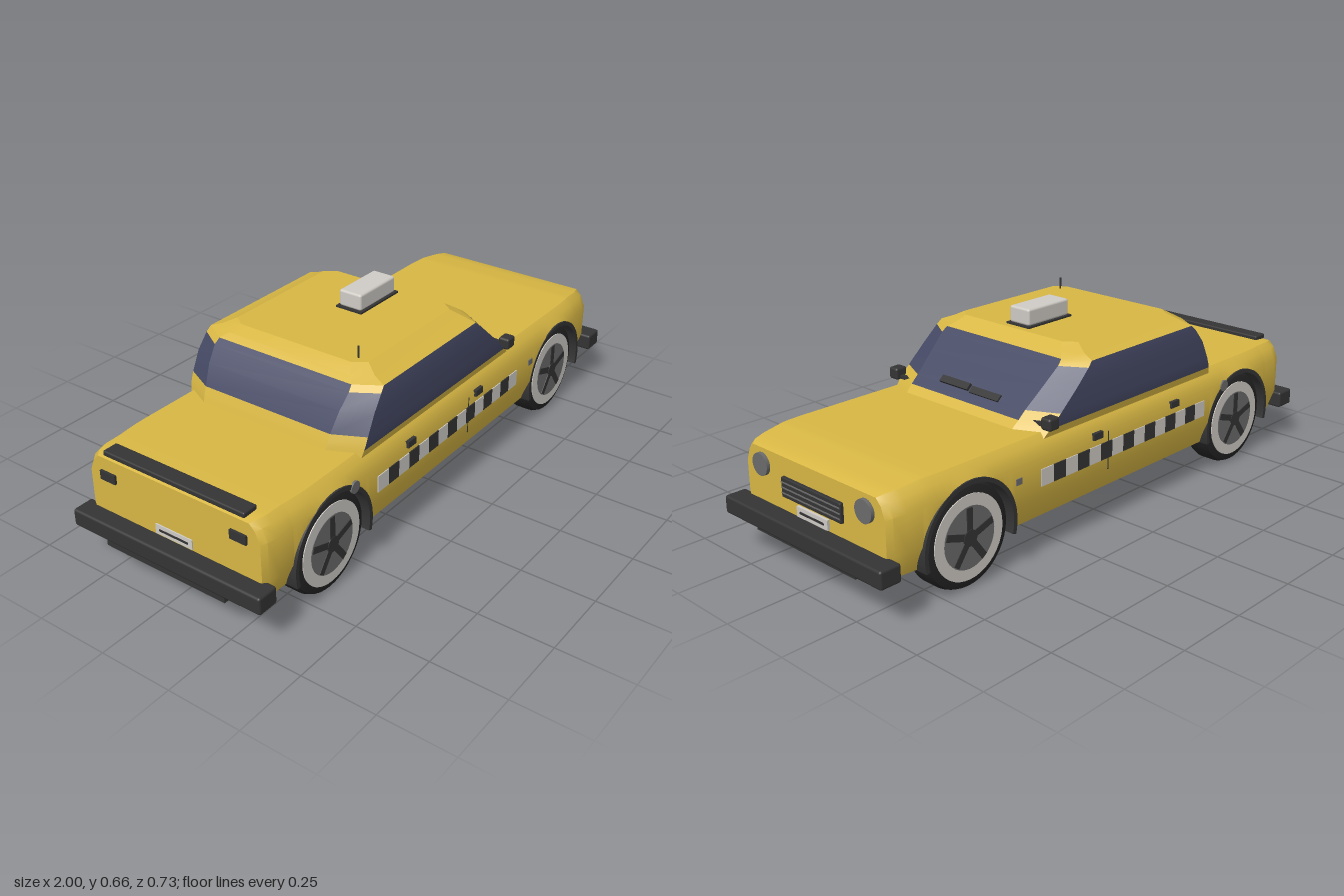
import * as THREE from 'three';
import { toCreasedNormals } from 'three/addons/utils/BufferGeometryUtils.js';
import { RoundedBoxGeometry } from 'three/addons/geometries/RoundedBoxGeometry.js';

const mat = (name, color) => Object.assign(new THREE.MeshStandardMaterial({ color }), { name });

export function createModel() {
  const car = new THREE.Group();
  car.name = 'taxi';
  const yellow = mat('yellow paint', 0xd8b744);
  const glass = mat('tinted glass', 0x454964);
  const dark = mat('dark trim', 0x343434);
  const rubber = mat('tyre rubber', 0x242424);
  const pale = mat('pale plastic', 0xcfcbc5);
  const gray = mat('gray metal', 0x6b6b6b);

  const add = (name, geo, m, x = 0, y = 0, z = 0, parent = car) => {
    const mesh = new THREE.Mesh(geo, m);
    mesh.name = name;
    mesh.position.set(x, y, z);
    parent.add(mesh);
    return mesh;
  };
  const box = (name, m, w, h, d, x, y, z, parent) =>
    add(name, new THREE.BoxGeometry(w, h, d), m, x, y, z, parent);
  const rbox = (name, m, w, h, d, x, y, z, r = 0.008) =>
    add(name, new RoundedBoxGeometry(w, h, d, 2, r), m, x, y, z);

  // Skin closed rings of points; pick(row, column) gives each face its material
  const loft = (name, rings, pick, crease) => {
    const faces = new Map();
    const tri = (m, ...pts) => {
      if (new THREE.Triangle(...pts).getArea() < 1e-9) return;
      if (!faces.has(m)) faces.set(m, []);
      pts.forEach((p) => faces.get(m).push(p.x, p.y, p.z));
    };
    const n = rings[0].length;
    for (let i = 0; i < rings.length - 1; i++) {
      for (let j = 0; j < n; j++) {
        const k = (j + 1) % n, a = rings[i], b = rings[i + 1];
        tri(pick(i, j), a[j], a[k], b[k]);
        tri(pick(i, j), a[j], b[k], b[j]);
      }
    }
    [rings[0], rings[rings.length - 1]].forEach((r, end) => {
      const c = r.reduce((s, p) => s.add(p), new THREE.Vector3()).divideScalar(n);
      for (let j = 0; j < n; j++) {
        const k = (j + 1) % n;
        tri(pick(end ? rings.length - 2 : 0, -1), c, end ? r[j] : r[k], end ? r[k] : r[j]);
      }
    });
    faces.forEach((pos, m) => {
      const g = new THREE.BufferGeometry();
      g.setAttribute('position', new THREE.Float32BufferAttribute(pos, 3));
      add(`${name} ${m.name}`, toCreasedNormals(g, crease), m);
    });
  };

  // Lower body: cross-sections along x, with the wheel arches cut out
  const axleX = 0.655, axleY = 0.165, archR = 0.176, floorY = 0.12;
  const section = (x, w, top, arch = floorY) => {
    const lift = Math.min(1, (arch - floorY) / 0.08);
    const half = [
      [0, top], [0.89 * w, top], [0.95 * w, top - 0.02],
      [w, Math.max(top - 0.06, arch)], [w, Math.max(0.2, arch)],
      [(0.91 + 0.09 * lift) * w, arch], [0.235, arch], [0.235, floorY],
    ];
    const back = half.slice(1).reverse().map(([z, y]) => [-z, y]);
    return [...half, ...back].map(([z, y]) => new THREE.Vector3(x, y, z));
  };
  const widthAt = (x) => 0.358 - 0.4 * Math.max(0, Math.abs(x) - 0.72) ** 1.7;
  const topAt = (x) => 0.387 - 0.11 * Math.max(0, x - 0.8);
  const archRings = (cx) => {
    const at = (x, arch) => section(x, widthAt(x), topAt(x), arch);
    const rings = [at(cx - archR)];
    for (let i = 0; i <= 16; i++) {
      const t = (Math.PI * i) / 16;
      rings.push(at(cx - archR * Math.cos(t), axleY + archR * Math.sin(t)));
    }
    return [...rings, at(cx + archR)];
  };
  loft('body', [
    section(-0.942, 0.325, 0.378), section(-0.925, 0.337, 0.385), section(-0.89, 0.347, 0.387),
    ...archRings(-axleX), ...archRings(axleX),
    section(0.88, 0.343, 0.377), section(0.92, 0.33, 0.372), section(0.937, 0.317, 0.364),
  ], () => yellow, 0.5);

  // Cabin: eight-sided rings going up; columns are side, corner, front, corner, side, corner, rear, corner
  const cabinRing = ([y, xr, xf, hz, cx, cz]) => [
    [xr + cx, hz], [xf - cx, hz], [xf, hz - cz], [xf, cz - hz],
    [xf - cx, -hz], [xr + cx, -hz], [xr, cz - hz], [xr, hz - cz],
  ].map(([x, z]) => new THREE.Vector3(x, y, z));
  const cabin = [
    [0.37, -0.548, 0.385, 0.335, 0.05, 0.1], [0.395, -0.54, 0.362, 0.34, 0.05, 0.1],
    [0.41, -0.535, 0.345, 0.342, 0.05, 0.1], [0.435, -0.525, 0.317, 0.343, 0.05, 0.1],
    [0.5, -0.493, 0.243, 0.343, 0.05, 0.09], [0.548, -0.455, 0.189, 0.34, 0.05, 0.08],
    [0.565, -0.437, 0.17, 0.336, 0.05, 0.08], [0.58, -0.415, 0.15, 0.295, 0.04, 0.06],
    [0.601, -0.38, 0.12, 0.255, 0.03, 0.04],
  ].map(cabinRing);
  const cabinPaint = (row, col) => {
    if (row >= 6 || row === 0 || col < 0) return yellow;
    if (col % 2) return row <= 2 || row === 5 ? yellow : glass;
    if (col === 2) return row <= 1 ? yellow : glass;
    if (col === 6) return row <= 2 ? yellow : glass;
    return glass;
  };
  loft('cabin', cabin, cabinPaint, 0.3);

  // Roof sign and aerial
  box('signBase', dark, 0.205, 0.008, 0.1, -0.005, 0.603, 0);
  rbox('roofSign', pale, 0.19, 0.056, 0.086, -0.005, 0.634, 0);
  add('aerial', new THREE.CylinderGeometry(0.003, 0.003, 0.045, 8), dark, -0.345, 0.618, 0.215);

  // Wheel arches and wheels, built facing +z and turned for the far side
  const archShape = new THREE.Shape();
  const dip = Math.asin((axleY - floorY) / archR);
  archShape.absarc(0, 0, 0.183, -dip, Math.PI + dip, false);
  archShape.absarc(0, 0, 0.169, Math.PI + dip, -dip, true);
  const archGeo = new THREE.ExtrudeGeometry(archShape, { depth: 0.123, bevelEnabled: false, curveSegments: 28 });
  const tyreGeo = toCreasedNormals(new THREE.LatheGeometry(
    [[0, -0.048], [0.14, -0.048], [0.158, -0.042], [0.165, -0.026], [0.165, 0.026],
      [0.158, 0.042], [0.14, 0.048], [0, 0.048]].map(([x, y]) => new THREE.Vector2(x, y)), 40), 0.6);
  tyreGeo.rotateX(Math.PI / 2);
  const disc = (r, h, n = 40) => new THREE.CylinderGeometry(r, r, h, n).rotateX(Math.PI / 2);
  for (const side of [1, -1]) {
    for (const x of [-axleX, axleX]) {
      const wheel = new THREE.Group();
      wheel.name = `${x > 0 ? 'front' : 'rear'}Wheel${side > 0 ? 'NearSide' : 'FarSide'}`;
      wheel.position.set(x, axleY, 0);
      if (side < 0) wheel.rotation.y = Math.PI;
      car.add(wheel);
      add('wheelArch', archGeo, dark, 0, 0, 0.236, wheel);
      add('tyre', tyreGeo, rubber, 0, 0, 0.294, wheel);
      add('whitewall', disc(0.134, 0.006), pale, 0, 0, 0.342, wheel);
      add('hub', disc(0.098, 0.006), gray, 0, 0, 0.344, wheel);
      add('hubCap', disc(0.026, 0.01, 20), dark, 0, 0, 0.346, wheel);
      for (let i = 0; i < 5; i++) {
        const a = Math.PI / 2 + (i * Math.PI * 2) / 5;
        const spoke = box('spoke', dark, 0.085, 0.022, 0.007, 0.052 * Math.cos(a), 0.052 * Math.sin(a), 0.346, wheel);
        spoke.rotation.z = a;
      }
    }

    // Side trim: chequer band, handles, door seam, markers
    const z = 0.358 * side;
    for (let i = 0; i < 15; i++) {
      box('chequer', i % 2 ? dark : pale, 0.0545, 0.056, 0.006, -0.42 + i * 0.0545, 0.263, z);
    }
    for (const x of [-0.275, 0.115]) box('doorHandle', dark, 0.042, 0.022, 0.016, x, 0.325, z);
    box('doorSeam', dark, 0.003, 0.13, 0.003, 0.06, 0.26, z);
    box('sideMarker', gray, 0.025, 0.02, 0.008, 0.465, 0.282, z);
    add('fuelCap', disc(0.02, 0.008, 20), gray, -0.56, 0.315, z);

    // Door mirrors
    rbox('mirror', dark, 0.045, 0.04, 0.04, 0.315, 0.419, 0.344 * side);
    box('mirrorArm', dark, 0.014, 0.012, 0.07, 0.315, 0.408, 0.31 * side);

    // Lamps and exhausts
    const lamp = add('headlight', disc(0.036, 0.024, 32), gray, 0.937, 0.313, 0.238 * side);
    lamp.rotation.y = Math.PI / 2;
    box('tailLight', dark, 0.014, 0.03, 0.06, -0.943, 0.32, 0.25 * side);
    const pipe = add('exhaust', disc(0.016, 0.14, 20), gray, -0.92, 0.122, 0.155 * side);
    pipe.rotation.y = Math.PI / 2;

    // Wipers lying on the windscreen
    const wiper = box('wiper', dark, 0.012, 0.024, 0.126, 0.311, side > 0 ? 0.446 : 0.44, side > 0 ? 0.068 : -0.067);
    wiper.rotation.z = 0.85;
  }

  // Bumpers with lower lips and number plates
  for (const end of [1, -1]) {
    rbox('bumper', dark, 0.075, 0.058, 0.726, 0.962 * end, 0.163, 0);
    box('bumperLip', dark, 0.05, 0.03, 0.46, (end > 0 ? 0.955 : 0.97) * end, 0.13, 0);
    box('numberPlate', pale, 0.012, 0.033, 0.142, 0.94 * end, 0.214, 0);
    box('plateBar', dark, 0.004, 0.007, 0.11, 0.946 * end, 0.214, 0);
  }

  // Grille with slats
  rbox('grille', dark, 0.022, 0.064, 0.276, 0.937, 0.272, 0, 0.004);
  for (const y of [0.255, 0.272, 0.289]) box('grilleSlat', gray, 0.004, 0.004, 0.27, 0.948, y, 0);

  // Boot lid spoiler
  rbox('spoiler', dark, 0.055, 0.018, 0.54, -0.912, 0.392, 0, 0.005);
  return car;
}
